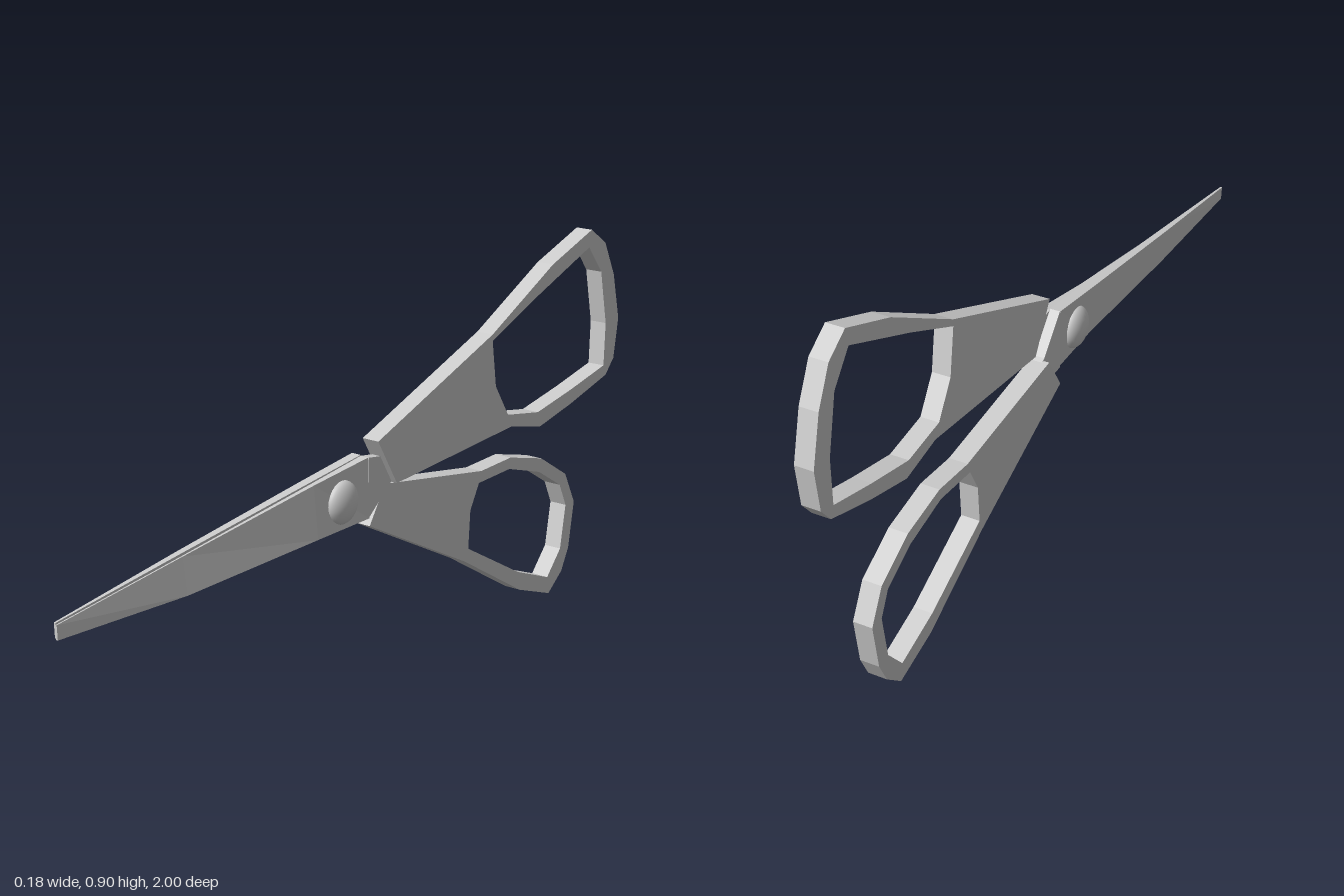
import * as THREE from 'three';

const steel = new THREE.MeshStandardMaterial({ color: 0xcccccc, flatShading: true });
const smooth = new THREE.MeshStandardMaterial({ color: 0xcccccc });

// centre plane between the two blades, drifting sideways toward the tip
const midX = (z) => 0.003 + 0.082 * z;

function add(group, name, geometry, material = steel) {
  const mesh = new THREE.Mesh(geometry, material);
  mesh.name = name;
  group.add(mesh);
}

// flat plate outlined in [z, y], spanning x0..x1 at z = 0, leaning by slopeZ along z
// and by slopeY along y; outline and hole are listed in the same turning direction
function plate(outline, hole, x0, x1, slopeZ, slopeY = 0) {
  const toPoints = (list) => list.map(([z, y]) => new THREE.Vector2(-z, y));
  const shape = new THREE.Shape(toPoints(outline));
  if (hole) shape.holes.push(new THREE.Path(toPoints(hole).reverse()));
  const geo = new THREE.ExtrudeGeometry(shape, { depth: x1 - x0, bevelEnabled: false });
  geo.rotateY(Math.PI / 2);
  const p = geo.attributes.position;
  for (let i = 0; i < p.count; i++) {
    p.setX(i, p.getX(i) + x0 + slopeZ * p.getZ(i) + slopeY * (p.getY(i) - 0.35));
  }
  geo.computeVertexNormals();
  return geo;
}

// tapered wedge blade; side is +1 or -1, stations are [z, bottom, top, bottomThickness, topThickness]
function blade(stations, side) {
  const pos = [], index = [];
  for (const [z, bottom, top, tb, tt] of stations) {
    const c = midX(z);
    const span = (t) => (side > 0 ? [c, c + t] : [c - t, c]);
    const [b0, b1] = span(tb), [t0, t1] = span(tt);
    pos.push(b0, bottom, z, b1, bottom, z, t1, top, z, t0, top, z);
  }
  const last = (stations.length - 1) * 4;
  for (let s = 0; s < last; s += 4) {
    for (let i = 0; i < 4; i++) {
      const a = s + i, b = s + (i + 1) % 4;
      index.push(a, b, b + 4, a, b + 4, a + 4);
    }
  }
  index.push(0, 2, 1, 0, 3, 2, last, last + 1, last + 2, last, last + 2, last + 3);
  let geo = new THREE.BufferGeometry();
  geo.setAttribute('position', new THREE.Float32BufferAttribute(pos, 3));
  geo.setIndex(index);
  geo = geo.toNonIndexed();
  geo.computeVertexNormals();
  return geo;
}

export function createModel() {
  const model = new THREE.Group();
  model.name = 'scissors';

  // large upper finger handle
  add(model, 'upperHandle', plate(
    [[0, 0.556], [-0.444, 0.716], [-0.695, 0.84], [-0.866, 0.898], [-0.93, 0.856], [-0.973, 0.77],
      [-1, 0.655], [-0.982, 0.556], [-0.947, 0.519], [-0.79, 0.478], [-0.652, 0.449], [-0.53, 0.476], [-0.07, 0.444]],
    [[-0.444, 0.7], [-0.62, 0.77], [-0.856, 0.856], [-0.914, 0.786], [-0.941, 0.652], [-0.936, 0.545],
      [-0.79, 0.514], [-0.642, 0.487], [-0.513, 0.508], [-0.46, 0.588]],
    -0.004, 0.042, 0.077));

  // smaller lower thumb handle
  add(model, 'lowerHandle', plate(
    [[-0.066, 0.437], [-0.444, 0.38], [-0.567, 0.385], [-0.7, 0.353], [-0.807, 0.289], [-0.845, 0.209],
      [-0.818, 0.096], [-0.786, 0.043], [-0.727, 0], [-0.6, 0.043], [-0.37, 0.175], [-0.005, 0.353]],
    [[-0.433, 0.353], [-0.561, 0.358], [-0.69, 0.321], [-0.781, 0.267], [-0.807, 0.209], [-0.781, 0.102],
      [-0.722, 0.043], [-0.594, 0.09], [-0.385, 0.203], [-0.396, 0.294]],
    -0.034, 0.013, 0.0734, -0.034));

  // blades: the spine is thick, the cutting edge thin
  add(model, 'leftBlade', blade([
    [0.016, 0.38, 0.52, 0.026, 0.022], [0.2, 0.376, 0.497, 0.024, 0.012],
    [0.626, 0.364, 0.446, 0.016, 0.004], [1, 0.373, 0.404, 0.005, 0.003]], 1));
  add(model, 'rightBlade', blade([
    [0.016, 0.38, 0.522, 0.022, 0.026], [0.2, 0.378, 0.501, 0.012, 0.024],
    [0.626, 0.367, 0.452, 0.004, 0.016], [1, 0.376, 0.408, 0.003, 0.005]], -1));

  // tangs running from the blades into the handles
  add(model, 'leftTang', plate(
    [[0.016, 0.52], [-0.04, 0.512], [-0.12, 0.47], [-0.062, 0.442], [0.016, 0.38]], null, 0.003, 0.027, 0.082));
  add(model, 'rightTang', plate(
    [[0.016, 0.522], [-0.062, 0.442], [-0.12, 0.41], [-0.04, 0.375], [0.016, 0.38]], null, -0.022, 0.003, 0.082));

  // domed rivet heads on both sides of the pivot
  for (const side of [1, -1]) {
    const dome = new THREE.SphereGeometry(0.05, 24, 8, 0, Math.PI * 2, 0, Math.PI / 2);
    dome.scale(1, 0.5, 1);
    dome.rotateZ(-side * Math.PI / 2);
    dome.rotateY(0.082);
    dome.translate(midX(0.108) + side * 0.019, 0.438, 0.108);
    add(model, side > 0 ? 'leftRivet' : 'rightRivet', dome, smooth);
  }
  return model;
}
